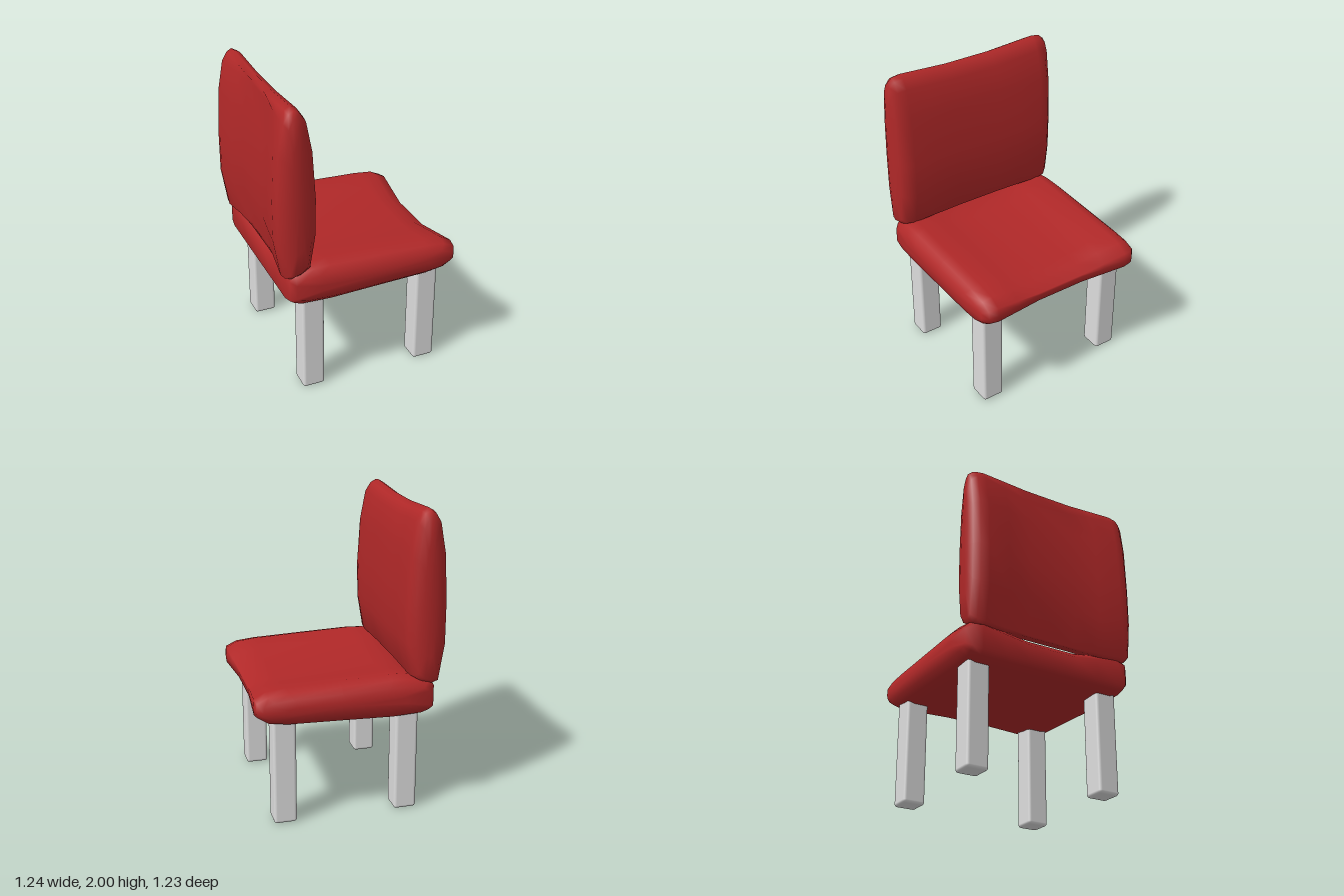
import * as THREE from 'three';
import { RoundedBoxGeometry } from 'three/addons/geometries/RoundedBoxGeometry.js';

// Side outlines (x, y), clockwise seen from +z
const SEAT = [
  [-0.55, 0.71], [-0.55, 0.87], [-0.51, 0.91], [-0.38, 0.935], [-0.27, 0.94], [0.07, 0.928], [0.41, 0.915],
  [0.54, 0.9], [0.615, 0.86], [0.62, 0.8], [0.615, 0.755], [0.54, 0.7], [0.41, 0.68], [0.07, 0.668],
  [-0.27, 0.655], [-0.47, 0.665], [-0.52, 0.685],
];
const BACK = [
  [-0.49, 2.0], [-0.45, 1.98], [-0.41, 1.92], [-0.37, 1.72], [-0.35, 1.4], [-0.355, 1.15], [-0.395, 0.925],
  [-0.46, 0.885], [-0.53, 0.87], [-0.575, 0.885], [-0.617, 1.13], [-0.617, 1.4], [-0.6, 1.72],
  [-0.56, 1.925], [-0.525, 1.98],
];

// Rounded ends: [z, x scale, y scale]; the same list is mirrored for -z
const SEAT_ENDS = [[0.17, 1, 1], [0.34, 1, 1], [0.5, 1, 1], [0.565, 0.985, 0.86], [0.6, 0.92, 0.6], [0.614, 0.65, 0.25]];
const BACK_ENDS = [[0.17, 1, 1], [0.34, 1, 1], [0.5, 1, 1], [0.56, 0.93, 0.985], [0.595, 0.65, 0.93], [0.61, 0.3, 0.65]];

// Lofts an outline across z; dish(x, y, t) bends the middle, t = 1 at the centre
function cushion(outline, ends, [cx, cy], dish) {
  const sections = [...ends.map(([z, sx, sy]) => [-z, sx, sy]).reverse(), ...ends];
  const n = outline.length, pos = [], index = [];
  for (const [z, sx, sy] of sections) {
    const t = THREE.MathUtils.clamp((0.5 - Math.abs(z)) / 0.33, 0, 1);
    for (const [x, y] of outline) {
      const [dx, dy] = dish(x, y, t);
      pos.push(cx + (x - cx) * sx + dx, cy + (y - cy) * sy + dy, z);
    }
  }
  for (let j = 0; j < sections.length - 1; j++) {
    for (let i = 0; i < n; i++) {
      const a = j * n + i, b = j * n + (i + 1) % n;
      index.push(a, a + n, b, b, a + n, b + n);
    }
  }
  // End caps
  const last = (sections.length - 1) * n, c = sections.length * n;
  const zEnd = ends[ends.length - 1][0];
  pos.push(cx, cy, -zEnd, cx, cy, zEnd);
  for (let i = 0; i < n; i++) {
    const k = (i + 1) % n;
    index.push(c, i, k, c + 1, last + k, last + i);
  }
  const g = new THREE.BufferGeometry();
  g.setAttribute('position', new THREE.Float32BufferAttribute(pos, 3));
  g.setIndex(index);
  g.computeVertexNormals();
  return g;
}

export function createModel() {
  const red = new THREE.MeshStandardMaterial({ color: 0xb02828 });
  red.name = 'red upholstery';
  const grey = new THREE.MeshStandardMaterial({ color: 0xdcdcdc });
  grey.name = 'pale grey legs';

  const chair = new THREE.Group();
  chair.name = 'chair';
  const add = (name, geometry, material) => {
    const mesh = new THREE.Mesh(geometry, material);
    mesh.name = name;
    chair.add(mesh);
    return mesh;
  };

  // Seat: top sinks and front edge draws in at the middle
  add('seat', cushion(SEAT, SEAT_ENDS, [0.03, 0.795],
    (x, y, t) => [x > 0.5 ? -0.03 * t : 0, y > 0.84 ? -0.05 * t : 0]), red);

  // Backrest: rear face and top edge draw in at the middle
  add('backrest', cushion(BACK, BACK_ENDS, [-0.485, 1.43],
    (x, y, t) => [x < -0.55 ? 0.05 * t : 0, y > 1.9 ? -0.02 * t : y < 0.95 ? 0.01 * t : 0]), red);

  // Four legs, reaching slightly into the seat
  for (const [x, end] of [[0.43, 'front'], [-0.375, 'rear']]) {
    for (const [z, side] of [[0.47, 'Right'], [-0.47, 'Left']]) {
      add(end + 'Leg' + side, new RoundedBoxGeometry(0.15, 0.74, 0.15, 3, 0.02), grey).position.set(x, 0.37, z);
    }
  }
  return chair;
}
